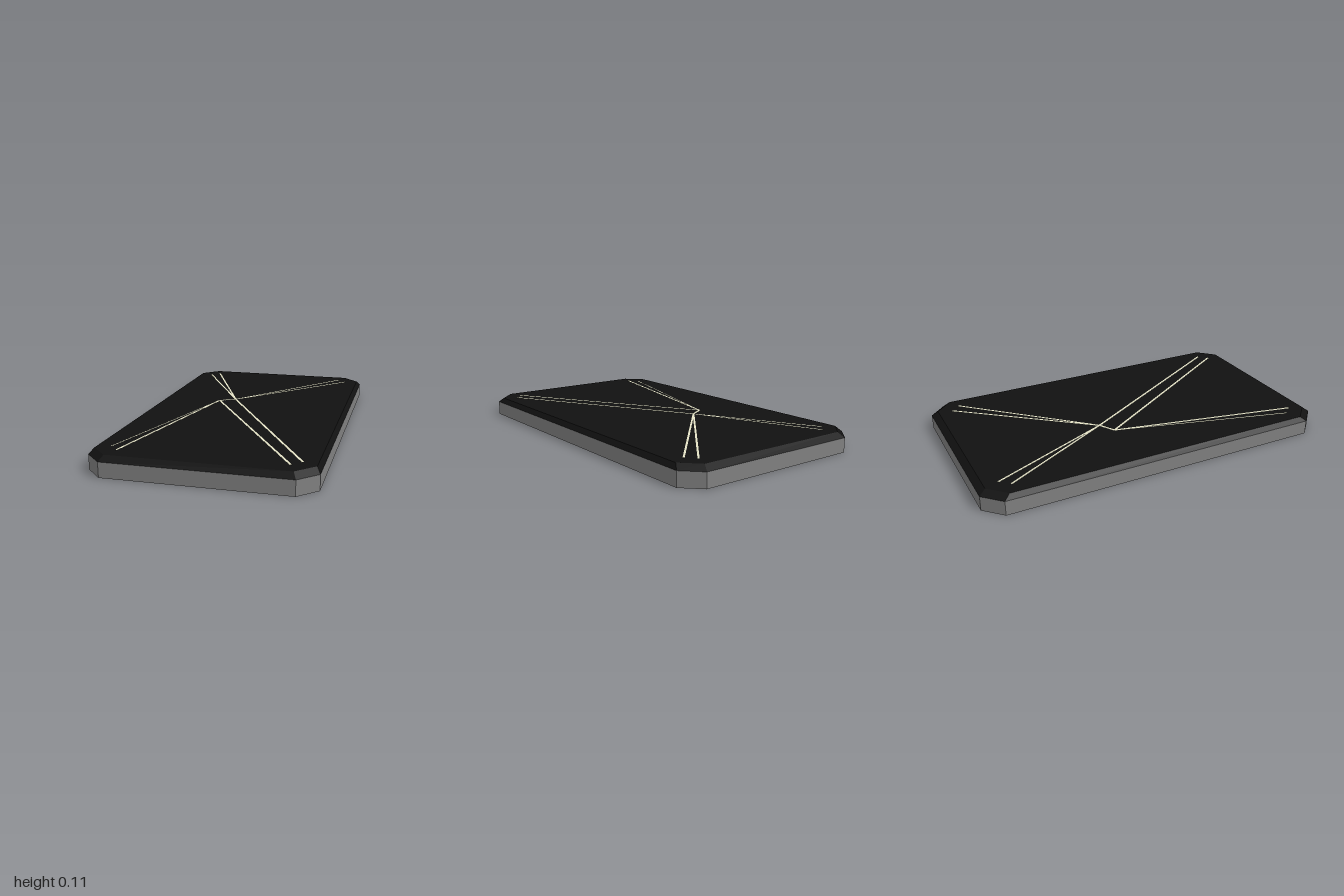
import * as THREE from 'three';

// Octagonal outline (rectangle with cut corners) at a given scale and height
function ring(scale, y) {
  const X = 0.57, Z = 1, x = 0.475, z = 0.905;
  return [[x, Z], [X, z], [X, -z], [x, -Z], [-x, -Z], [-X, -z], [-X, z], [-x, Z]]
    .map(([a, b]) => new THREE.Vector3(a * scale, y, b * scale));
}

// Flat-shaded skin between successive rings, optionally closed at the top
function skin(rings, capped) {
  const pts = [];
  for (let r = 0; r + 1 < rings.length; r++) {
    const low = rings[r], high = rings[r + 1];
    for (let i = 0; i < low.length; i++) {
      const j = (i + 1) % low.length;
      pts.push(low[i], low[j], high[j], low[i], high[j], high[i]);
    }
  }
  if (capped) {
    const top = rings[rings.length - 1];
    for (let i = 1; i + 1 < top.length; i++) pts.push(top[0], top[i], top[i + 1]);
  }
  const geometry = new THREE.BufferGeometry().setFromPoints(pts);
  geometry.computeVertexNormals();
  return geometry;
}

function material(color) {
  return new THREE.MeshStandardMaterial({ color, side: THREE.DoubleSide, flatShading: true });
}

export function createModel() {
  const group = new THREE.Group();
  const wallHeight = 0.08, topHeight = 0.106;

  function add(name, geometry, mat) {
    const mesh = new THREE.Mesh(geometry, mat);
    mesh.name = name;
    group.add(mesh);
    return mesh;
  }

  // Upright rim, open underneath
  add('sideWall', skin([ring(1, 0), ring(1, wallHeight)], false), material(0x808080));

  // Dark panel with a bevelled border
  add('topPanel', skin([ring(1, wallHeight), ring(0.965, topHeight)], true), material(0x111111));

  // Pale inlaid lines from the four corners to two off-centre hubs
  const hubA = [-0.125, -0.2], hubB = [-0.213, -0.15];
  const lines = [
    [[-0.477, -0.84], hubA, 0.01],
    [[-0.43, -0.89], hubA, 0.01],
    [[0.43, -0.89], hubA, 0.01],
    [[0.477, -0.84], hubA, 0.01],
    [[0.477, 0.835], hubA, 0.012],
    [[0.43, 0.885], hubB, 0.012],
    [[-0.43, 0.885], hubB, 0.012],
    [[-0.477, 0.835], hubB, 0.006],
    [hubA, hubB, 0.012],
  ];
  const pale = material(0xe6e4c8);
  const inlay = new THREE.Group();
  inlay.name = 'inlayLines';
  for (const [[x0, z0], [x1, z1], width] of lines) {
    const length = Math.hypot(x1 - x0, z1 - z0);
    const line = new THREE.Mesh(new THREE.BoxGeometry(width, 0.002, length), pale);
    line.name = 'inlayLine';
    line.position.set((x0 + x1) / 2, topHeight, (z0 + z1) / 2);
    line.rotation.y = Math.atan2(x1 - x0, z1 - z0);
    inlay.add(line);
  }
  group.add(inlay);

  return group;
}
